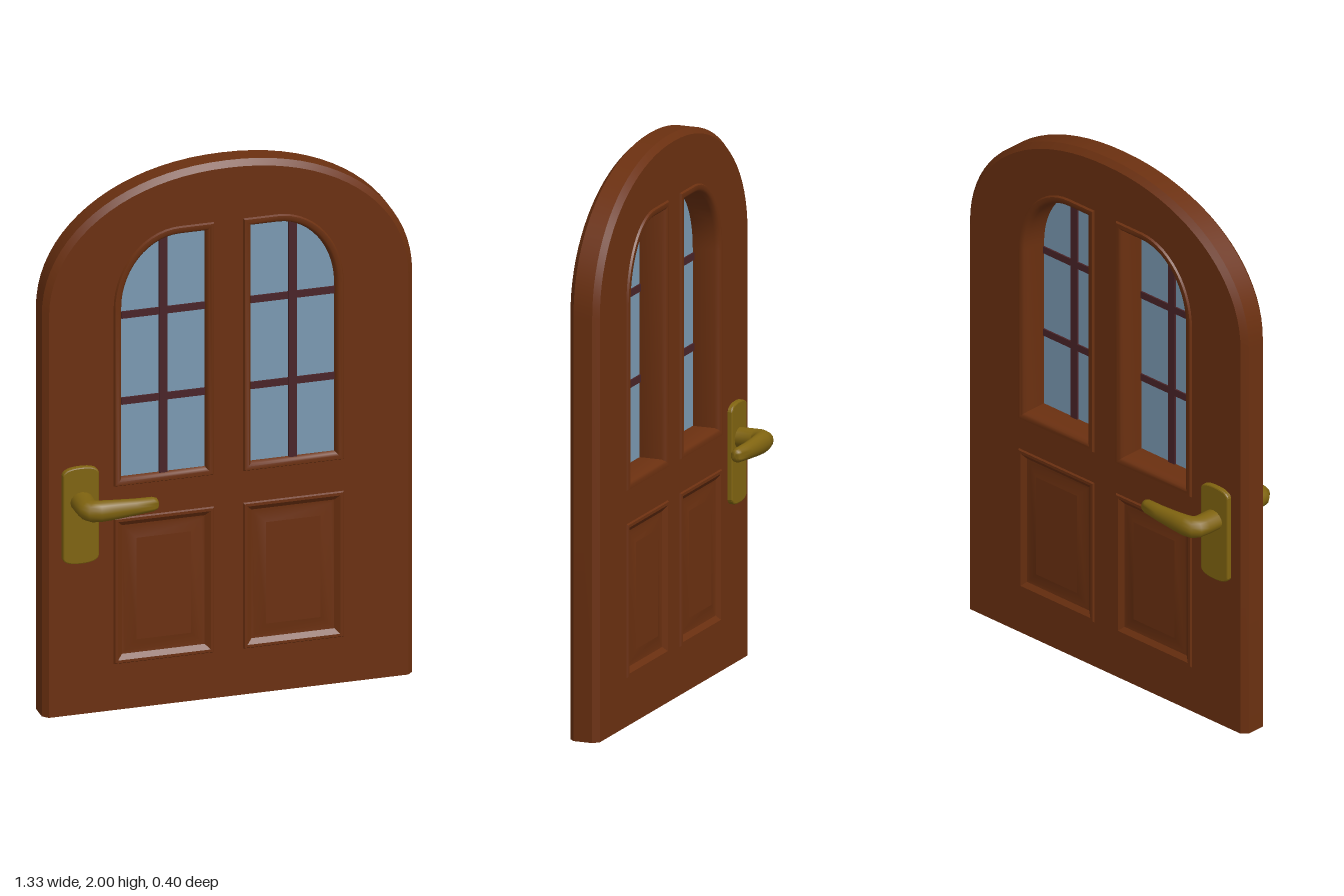
import * as THREE from 'three';
import { toCreasedNormals } from 'three/addons/utils/BufferGeometryUtils.js';

const V = (x, y, z) => new THREE.Vector3(x, y, z);
const at = (pts, z) => pts.map(p => V(p.x, p.y, z));
const mirrorX = pts => pts.map(p => new THREE.Vector2(-p.x, p.y)).reverse();

// Skin a list of closed rings that share one point count
function loft(rings, crease = 0.6) {
  const pos = [];
  for (let i = 0; i < rings.length - 1; i++) {
    const a = rings[i], b = rings[i + 1], n = a.length;
    for (let j = 0; j < n; j++) {
      const k = (j + 1) % n;
      for (const p of [a[j], a[k], b[k], a[j], b[k], b[j]]) pos.push(p.x, p.y, p.z);
    }
  }
  const g = new THREE.BufferGeometry();
  g.setAttribute('position', new THREE.Float32BufferAttribute(pos, 3));
  return toCreasedNormals(g, crease);
}

// Quarter-ellipse style arch, sampled from angle a0 to a1
function arch(cx, cy, rx, ry, a0, a1, n, power) {
  return Array.from({ length: n + 1 }, (_, i) => {
    const a = a0 + (a1 - a0) * i / n, c = Math.cos(a), s = Math.max(0, Math.sin(a));
    return new THREE.Vector2(cx + rx * Math.sign(c) * Math.abs(c) ** (2 / power), cy + ry * s ** (2 / power));
  });
}

// Outlines, counter-clockwise from the front, shrunk by an inset
const doorOutline = i => [
  new THREE.Vector2(-0.665 + i, 0), new THREE.Vector2(0.665 - i, 0),
  ...arch(0, 1.5, 0.665 - i, 0.5 - i, 0, Math.PI, 40, 2.1)];
const windowOutline = i => [
  new THREE.Vector2(0.05 + i, 0.835 + i), new THREE.Vector2(0.415 - i, 0.835 + i),
  ...arch(0.175, 1.5, 0.24 - i, 0.285 - i, 0, Math.PI / 2, 14, 2),
  new THREE.Vector2(0.05 + i, 1.785 - i)];
const panelOutline = i => [[-1, -1], [1, -1], [1, 1], [-1, 1]].map(
  ([x, y]) => new THREE.Vector2(x * (0.1825 - i), y * (0.275 - i)));

export function createModel() {
  const root = new THREE.Group();
  root.name = 'archedDoor';
  const mat = (name, color) => Object.assign(new THREE.MeshStandardMaterial({ color }), { name });
  const wood = mat('brown wood', 0x6b3010);
  const glass = mat('blue glass', 0x7b9ab3);
  const barWood = mat('dark bar wood', 0x4a2428);
  const brass = mat('old brass', 0x806410);
  const add = (name, geo, material, parent = root) => {
    const m = new THREE.Mesh(geo, material);
    m.name = name;
    parent.add(m);
    return m;
  };

  // Door leaf: chamfered rim, plus front and back faces with openings
  const T = 0.055, PY = 0.445, PX = 0.2325;
  add('doorRim', loft([[0.02, -T], [0, -0.035], [0, 0.035], [0.02, T]].map(([i, z]) => at(doorOutline(i), z))), wood);
  const face = new THREE.Shape(doorOutline(0.02));
  for (const s of [1, -1]) {
    const w = windowOutline(0.003);
    face.holes.push(new THREE.Path(s > 0 ? w : mirrorX(w)));
    face.holes.push(new THREE.Path(panelOutline(0.003).map(p => new THREE.Vector2(p.x + s * PX, p.y + PY))));
  }
  const faceGeo = new THREE.ShapeGeometry(face);
  add('doorFront', faceGeo, wood).position.z = T;
  const back = add('doorBack', faceGeo, wood);
  back.rotation.y = Math.PI;
  back.position.z = -T;

  // Windows: moulding that runs through the door, glass and glazing bars
  const frameProfile = [[0, 0.052], [0.006, 0.062], [0.02, 0.063], [0.028, 0.057], [0.034, 0.04],
    [0.034, -0.045], [0.028, -0.057], [0.02, -0.063], [0.006, -0.062], [0, -0.052]];
  for (const s of [1, -1]) {
    const outline = i => s > 0 ? windowOutline(i) : mirrorX(windowOutline(i));
    const win = new THREE.Group();
    win.name = s > 0 ? 'leftWindow' : 'rightWindow';
    root.add(win);
    add('windowFrame', loft(frameProfile.map(([i, z]) => at(outline(i), z)), 0.75), wood, win);
    const pane = new THREE.ExtrudeGeometry(new THREE.Shape(outline(0.031)), { depth: 0.006, bevelEnabled: false });
    add('glassPane', pane, glass, win).position.z = 0.037;
    add('uprightBar', new THREE.BoxGeometry(0.03, 0.885, 0.02), barWood, win).position.set(s * PX, 1.304, 0.04);
    for (const y of [1.15, 1.472]) {
      add('crossBar', new THREE.BoxGeometry(0.3, 0.026, 0.018), barWood, win).position.set(s * PX, y, 0.04);
    }
  }

  // Lower panels: raised moulding, shallow groove and bevelled field, on both sides
  const panelProfile = [[0, 0.052], [0.006, 0.061], [0.016, 0.061], [0.034, 0.048], [0.046, 0.047], [0.085, 0.055]];
  const panelGeo = loft(panelProfile.map(([i, z]) => at(panelOutline(i), z)), 0.5);
  const fieldGeo = new THREE.ShapeGeometry(new THREE.Shape(panelOutline(0.085)));
  fieldGeo.translate(0, 0, 0.055);
  for (const s of [1, -1]) for (const turn of [0, Math.PI]) {
    const panel = new THREE.Group();
    panel.name = 'lowerPanel';
    panel.position.set(s * PX, PY, 0);
    panel.rotation.x = turn;
    add('panelMoulding', panelGeo, wood, panel);
    add('panelField', fieldGeo, wood, panel);
    root.add(panel);
  }

  // Handle plate with softly arched ends
  const plate = new THREE.Shape();
  plate.moveTo(-0.06, -0.155);
  plate.quadraticCurveTo(-0.055, -0.176, 0, -0.176);
  plate.quadraticCurveTo(0.055, -0.176, 0.06, -0.155);
  plate.lineTo(0.06, 0.155);
  plate.quadraticCurveTo(0.055, 0.176, 0, 0.176);
  plate.quadraticCurveTo(-0.055, 0.176, -0.06, 0.155);
  const plateGeo = new THREE.ExtrudeGeometry(plate,
    { depth: 0.017, bevelThickness: 0.006, bevelSize: 0.005, bevelSegments: 2, curveSegments: 8 });
  plateGeo.translate(0, 0, 0.05);

  // Lever sections: x, z, heading from +z towards +x, half width, half height
  const sections = [
    [-0.532, 0.06, 0, 0.042, 0.036], [-0.532, 0.13, 0, 0.041, 0.036], [-0.528, 0.15, 0.4, 0.043, 0.037],
    [-0.516, 0.164, 0.85, 0.042, 0.038], [-0.49, 0.17, 1.3, 0.033, 0.038], [-0.45, 0.171, 1.57, 0.028, 0.036],
    [-0.37, 0.168, 1.62, 0.025, 0.03], [-0.305, 0.162, 1.65, 0.022, 0.026], [-0.291, 0.161, 1.65, 0.018, 0.021],
    [-0.285, 0.161, 1.65, 0.009, 0.011], [-0.284, 0.161, 1.65, 0.0001, 0.0001]];
  const leverGeo = loft(sections.map(([x, z, h, w, t]) => Array.from({ length: 16 }, (_, j) => {
    const a = j / 16 * Math.PI * 2, c = w * Math.cos(a);
    return V(x + c * Math.cos(h), t * Math.sin(a), z - c * Math.sin(h));
  })), 1.0);
  for (const turn of [0, Math.PI]) {
    const handle = new THREE.Group();
    handle.name = turn ? 'backHandle' : 'frontHandle';
    const p = add('handlePlate', plateGeo, brass, handle);
    p.position.set(-0.535, 0.75, 0);
    const l = add('handleLever', leverGeo, brass, handle);
    l.position.y = 0.803;
    p.rotation.x = l.rotation.x = turn;
    root.add(handle);
  }

  // Closed underside
  const under = add('doorUnderside', new THREE.BoxGeometry(1.29, 0.01, 2 * T - 0.004), wood);
  under.position.y = 0.006;
  return root;
}
